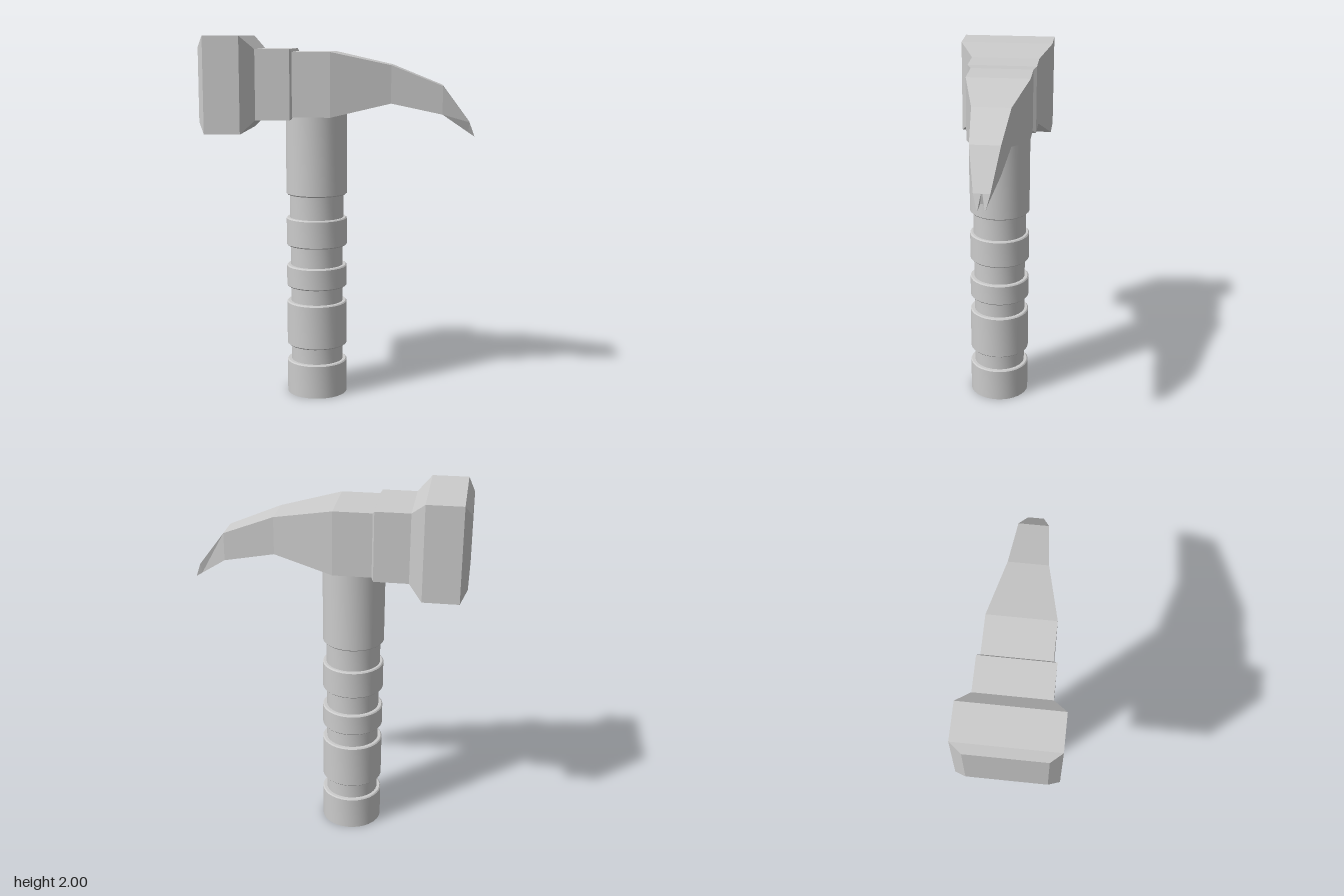
import * as THREE from 'three';
import { toCreasedNormals } from 'three/addons/utils/BufferGeometryUtils.js';

const material = new THREE.MeshStandardMaterial({ color: 0xcccccc });
const flatMaterial = new THREE.MeshStandardMaterial({ color: 0xcccccc, flatShading: true });

// Four corners of a symmetric upright cross-section
const rect = (x, yBottom, yTop, halfDepth) => [
  [x, yTop, halfDepth], [x, yTop, -halfDepth], [x, yBottom, -halfDepth], [x, yBottom, halfDepth],
];

// Closed faceted solid through four-cornered sections running towards +x
function loft(name, sections) {
  const positions = [];
  const quad = (a, b, c, d) => positions.push(...a, ...b, ...c, ...a, ...c, ...d);
  for (let k = 0; k < sections.length - 1; k++) {
    const s = sections[k], t = sections[k + 1];
    for (let i = 0; i < 4; i++) {
      const j = (i + 1) % 4;
      quad(s[i], t[i], t[j], s[j]);
    }
  }
  quad(...sections[0]);
  quad(...[...sections[sections.length - 1]].reverse());
  const geometry = new THREE.BufferGeometry();
  geometry.setAttribute('position', new THREE.Float32BufferAttribute(positions, 3));
  geometry.computeVertexNormals();
  const mesh = new THREE.Mesh(geometry, flatMaterial);
  mesh.name = name;
  return mesh;
}

// Round grip with four grooves, turned around its own axis
function createHandle() {
  const R = 0.168, bevel = 0.006, top = 1.62;
  const grooves = [[0.19, 0.28, 0.145], [0.53, 0.617, 0.145], [0.738, 0.85, 0.145], [1.007, 1.136, 0.149]];
  const profile = [[0, 0], [R, 0]];
  for (const [y0, y1, r] of grooves) {
    profile.push([R, y0 - bevel], [R - bevel, y0], [r, y0], [r, y1], [R - bevel, y1], [R, y1 + bevel]);
  }
  profile.push([R, top], [0, top]);
  const lathe = new THREE.LatheGeometry(profile.map(([r, y]) => new THREE.Vector2(r, y)), 32);
  const handle = new THREE.Mesh(toCreasedNormals(lathe, 0.5), material);
  handle.name = 'handle';
  handle.position.x = -0.127;
  return handle;
}

export function createModel() {
  const model = new THREE.Group();
  model.name = 'clawHammer';
  model.add(createHandle());

  const head = new THREE.Group();
  head.name = 'head';

  // Striking face, neck and curved claw in one faceted body
  head.add(loft('headBody', [
    rect(-0.735, 1.545, 1.94, 0.2),
    rect(-0.7, 1.485, 2, 0.258),
    rect(-0.507, 1.485, 2, 0.258),
    rect(-0.435, 1.555, 1.93, 0.19),
    rect(-0.25, 1.555, 1.93, 0.19),
    rect(-0.24, 1.57, 1.915, 0.172),
    rect(-0.035, 1.57, 1.915, 0.172),
    rect(0.285, 1.642, 1.845, 0.102),
    rect(0.56, 1.583, 1.735, 0.078),
    [[0.706, 1.54, 0.042], [0.706, 1.54, -0.042], [0.7, 1.485, -0.03], [0.7, 1.485, 0.03]],
  ]));

  // Two small pointed prongs either side of the notch
  for (const side of [1, -1]) {
    const outer = [[0.706, 1.54, 0.042 * side], [0.7, 1.485, 0.03 * side]];
    const inner = [[0.706, 1.54, 0.004 * side], [0.7, 1.485, 0.008 * side]];
    const tipOuter = [[0.733, 1.468, 0.023 * side], [0.735, 1.461, 0.022 * side]];
    const tipInner = [[0.733, 1.468, 0.017 * side], [0.735, 1.461, 0.017 * side]];
    const section = (o, i) => (side > 0 ? [o[0], i[0], i[1], o[1]] : [i[0], o[0], o[1], i[1]]);
    head.add(loft(side > 0 ? 'frontProng' : 'backProng',
      [section(outer, inner), section(tipOuter, tipInner)]));
  }

  model.add(head);
  return model;
}
